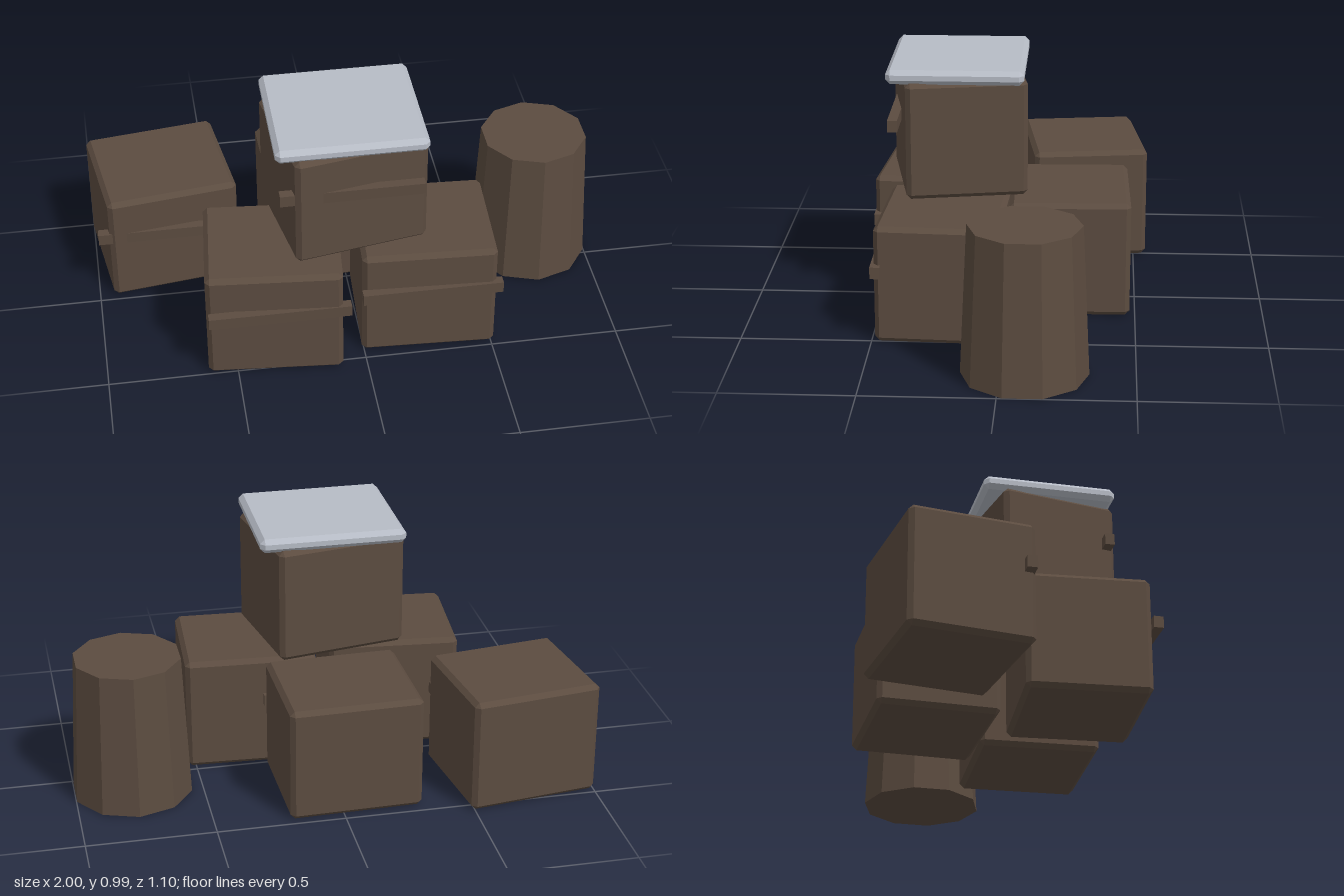
import * as THREE from 'three';
import { ConvexGeometry } from 'three/addons/geometries/ConvexGeometry.js';

const brown = new THREE.MeshStandardMaterial({ color: 0x5c4c40, flatShading: true });
brown.name = 'darkWood';
const grey = new THREE.MeshStandardMaterial({ color: 0xb7bcc6, flatShading: true });
grey.name = 'paleGrey';

// Box with every edge cut at 45 degrees
function chamferBox(w, h, d, c) {
  const points = [];
  for (const x of [-1, 1]) for (const y of [-1, 1]) for (const z of [-1, 1]) {
    const p = new THREE.Vector3(x * w / 2, y * h / 2, z * d / 2);
    points.push(
      p.clone().sub(new THREE.Vector3(0, y * c, z * c)),
      p.clone().sub(new THREE.Vector3(x * c, 0, z * c)),
      p.clone().sub(new THREE.Vector3(x * c, y * c, 0)));
  }
  return new ConvexGeometry(points);
}

function part(name, geometry, material, x, y, z, turn = 0) {
  const mesh = new THREE.Mesh(geometry, material);
  mesh.name = name;
  mesh.position.set(x, y, z);
  mesh.rotation.y = turn;
  return mesh;
}

export function createModel() {
  const model = new THREE.Group();
  model.name = 'crateStack';

  // Crates: each box is turned a little, its front batten stays square
  const crateGeometry = chamferBox(0.52, 0.46, 0.47, 0.018);
  const battenGeometry = new THREE.BoxGeometry(0.545, 0.046, 0.038);
  const crates = [
    ['backRightCrate', -0.715, 0, -0.285, 0.135],
    ['frontRightCrate', -0.335, 0, 0.288, -0.085],
    ['frontLeftCrate', 0.262, 0, 0.24, -0.05],
    ['backCrate', -0.045, 0, -0.238, 0.025],
    ['topCrate', -0.045, 0.48, 0.197, 0.18],
  ];
  for (const [name, x, y, z, turn] of crates) {
    const crate = new THREE.Group();
    crate.name = name;
    crate.position.set(x, y, z);
    crate.add(
      part('crateBox', crateGeometry, brown, 0, 0.23, 0, turn),
      part('batten', battenGeometry, brown, 0, 0.287, 0.24));
    model.add(crate);
  }

  // Pale lid resting on the top crate
  model.add(part('lid', chamferBox(0.572, 0.056, 0.526, 0.018), grey, -0.045, 0.962, 0.197));

  // Ten-sided tapered barrel
  model.add(part('barrel', new THREE.CylinderGeometry(0.21, 0.237, 0.575, 10), brown, 0.772, 0.2875, -0.092));

  return model;
}
